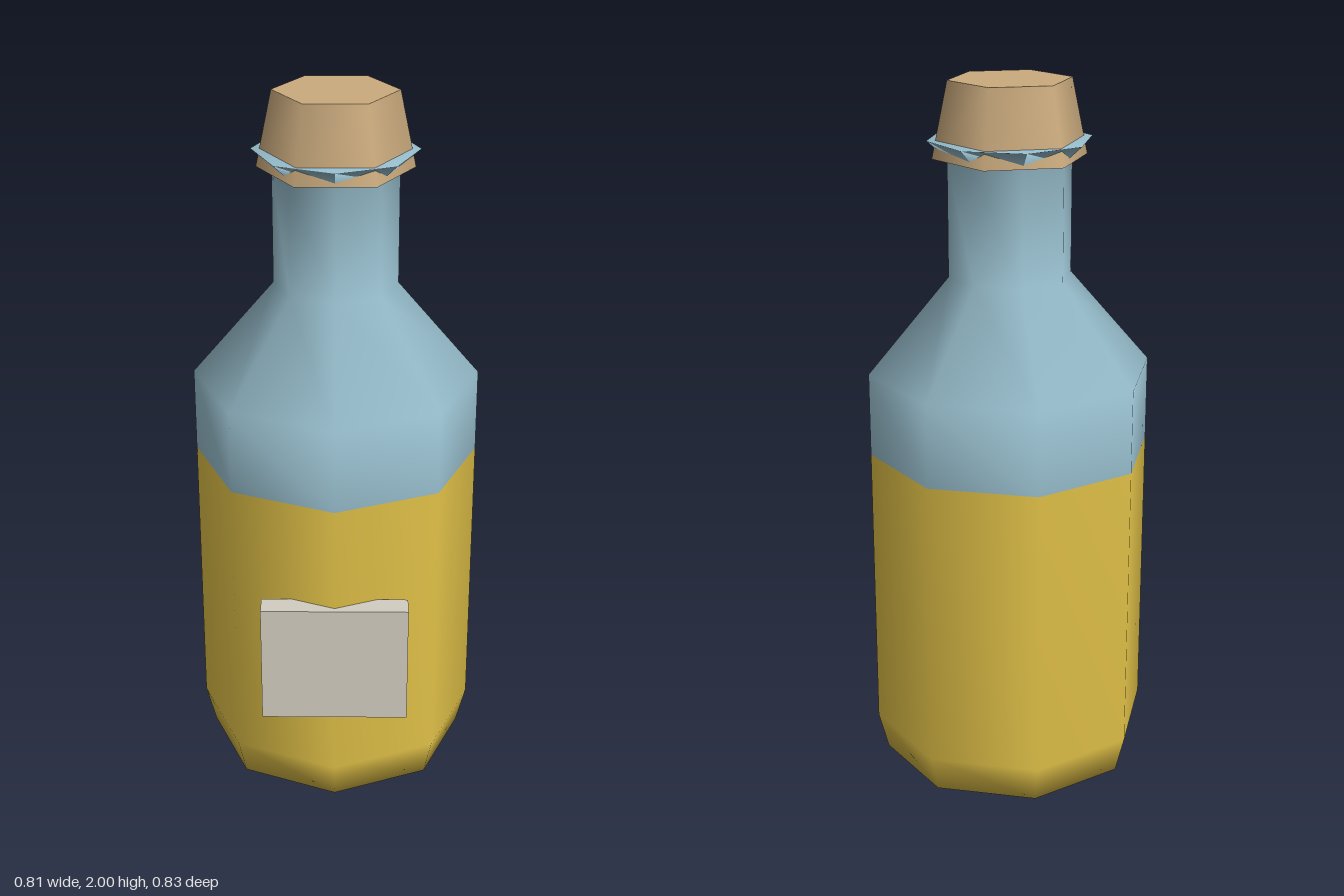
import * as THREE from 'three';

const material = (name, color) => {
  const m = new THREE.MeshStandardMaterial({ color });
  m.name = name;
  return m;
};

export function createModel() {
  const model = new THREE.Group();
  model.name = 'bottle';
  const glass = material('blue glass', 0x96bccb);
  const liquid = material('yellow liquid', 0xe2c248);
  const corkBrown = material('cork brown', 0xcbab7e);
  const paper = material('label paper', 0xd2cdc1);
  const axisZ = -0.01;

  const add = (name, geometry, mat, x, y, z) => {
    const mesh = new THREE.Mesh(geometry, mat);
    mesh.name = name;
    mesh.position.set(x, y, z);
    model.add(mesh);
  };
  // Eight-sided turned shape from [radius, height] pairs
  const turned = (profile) =>
    new THREE.LatheGeometry(profile.map(([r, y]) => new THREE.Vector2(r, y)), 8);

  // Filled lower body with a chamfered foot
  add('filledBody', turned([[0, 0], [0.376, 0], [0.404, 0.11], [0.404, 0.95]]), liquid, 0, 0, axisZ);

  // Clear upper body, shoulder, neck and flared lip
  add('shoulderAndNeck', turned([
    [0.404, 0.95], [0.404, 1.19], [0.174, 1.46], [0.174, 1.79], [0.23, 1.84], [0, 1.84],
  ]), glass, 0, 0, axisZ);

  // Tapered six-sided stopper
  const stopper = new THREE.CylinderGeometry(0.172, 0.216, 0.21, 6).rotateY(Math.PI / 6);
  add('cork', stopper, corkBrown, 0, 1.895, axisZ);

  // Flat front label
  add('label', new THREE.BoxGeometry(0.41, 0.35, 0.066), paper, 0, 0.475, 0.378);

  return model;
}
